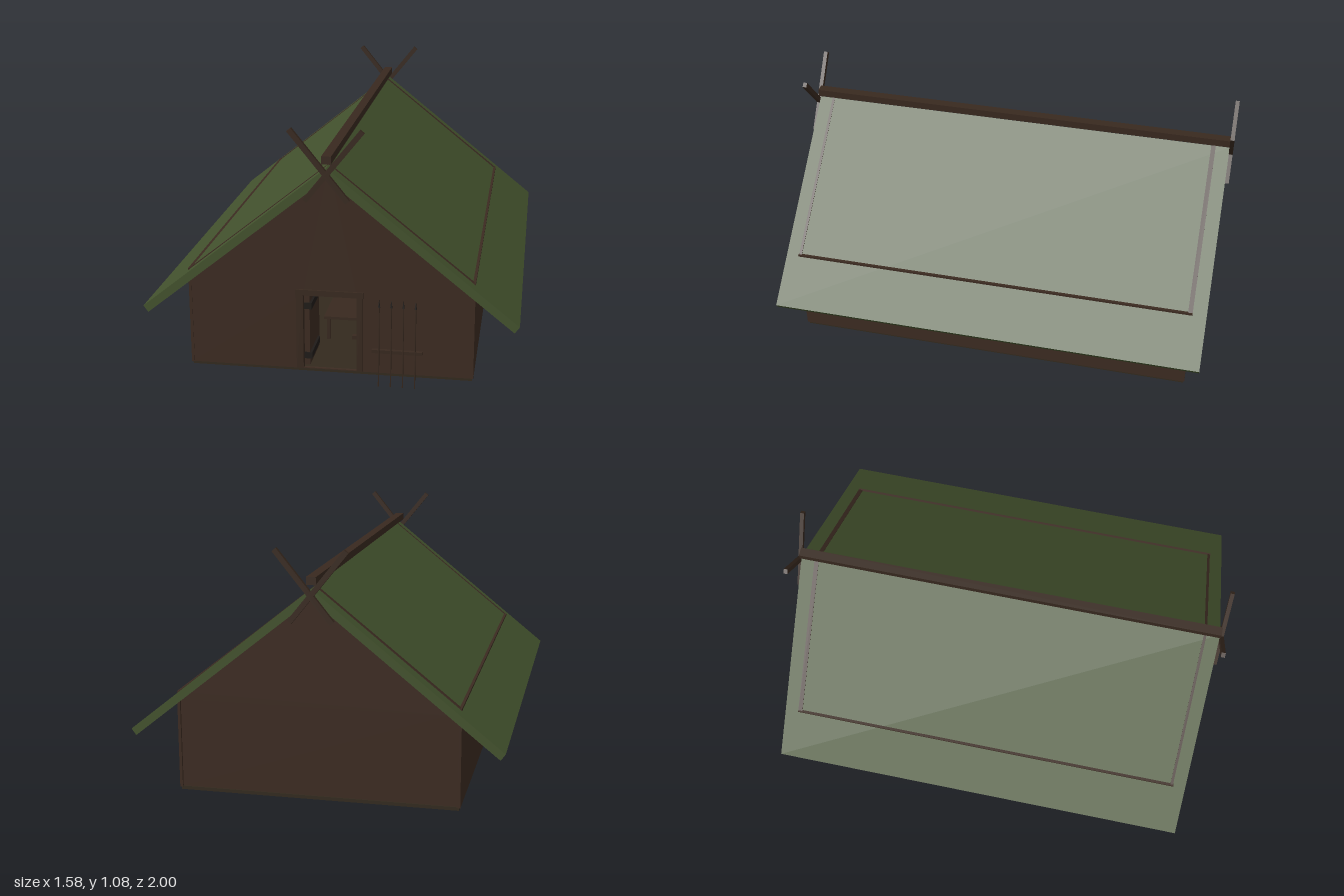
import * as THREE from 'three';

export function createModel() {
  const house = new THREE.Group();
  house.name = 'longhouse';

  const paint = (name, color) => {
    const m = new THREE.MeshStandardMaterial({ color });
    m.name = name;
    return m;
  };
  const wood = paint('wall wood', 0x3c2b21);
  const beam = paint('beam wood', 0x38291f);
  const thatch = paint('green roof', 0x43522d);
  const earth = paint('floor', 0x332a1e);
  const iron = paint('dark iron', 0x1f1b18);

  const add = (name, geometry, material, x = 0, y = 0, z = 0) => {
    const mesh = new THREE.Mesh(geometry, material);
    mesh.name = name;
    mesh.position.set(x, y, z);
    house.add(mesh);
    return mesh;
  };
  // Box given by its limits on each axis
  const box = (name, material, x0, x1, y0, y1, z0, z1) =>
    add(name, new THREE.BoxGeometry(x1 - x0, y1 - y0, z1 - z0), material,
      (x0 + x1) / 2, (y0 + y1) / 2, (z0 + z1) / 2);
  const outline = (points) => new THREE.Shape(points.map(([x, y]) => new THREE.Vector2(x, y)));
  const slab = (name, shape, depth, material, z) =>
    add(name, new THREE.ExtrudeGeometry(shape, { depth, bevelEnabled: false }), material, 0, 0, z);

  // Floor and long walls, whose tops just break through the roof
  box('floor', earth, -0.6, 0.6, 0, 0.015, -0.915, 0.89);
  for (const s of [-1, 1]) {
    const inner = s * 0.593, outer = s * 0.605;
    box('sideWall', wood, Math.min(inner, outer), Math.max(inner, outer), 0.012, 0.438, -0.92, 0.897);
  }

  // Front gable wall with the doorway
  const front = outline([[-0.6, 0.012], [0.6, 0.012], [0.6, 0.437], [0, 0.917], [-0.6, 0.437]]);
  front.holes.push(new THREE.Path([[-0.115, 0.016], [-0.115, 0.345], [0.115, 0.345], [0.115, 0.016]]
    .map(([x, y]) => new THREE.Vector2(x, y))));
  slab('frontWall', front, 0.012, wood, 0.882);

  // Back wall with a slightly proud gable above it
  box('backWall', wood, -0.6, 0.6, 0.012, 0.42, -0.91, -0.898);
  slab('backGable', outline([[-0.6, 0.405], [0.6, 0.405], [0.6, 0.437], [0, 0.917], [-0.6, 0.437]]),
    0.02, wood, -0.92);

  // Roof, one folded slab
  slab('roof', outline([[0, 0.915], [-0.79, 0.28], [-0.77, 0.252], [0, 0.87], [0.77, 0.252], [0.79, 0.28]]),
    1.935, thatch, -0.982);

  // Ridge pole and crossed gable boards
  box('ridgePole', beam, -0.02, 0.02, 0.93, 0.963, -0.982, 0.955);
  for (const z of [0.962, -0.99]) {
    for (const s of [-1, 1]) {
      const board = add('crossedBoard', new THREE.BoxGeometry(0.022, 0.375, 0.018), beam,
        s * -0.03, 0.925, z);
      board.rotation.z = s * Math.atan2(0.232, 0.288);
    }
  }

  // Door frame
  for (const s of [-1, 1]) {
    box('doorPost', beam, s < 0 ? -0.143 : 0.113, s < 0 ? -0.113 : 0.14, 0.015, 0.345, 0.875, 0.902);
  }
  box('doorLintel', beam, -0.145, 0.142, 0.345, 0.37, 0.875, 0.902);

  // Door swung inward, with hinges and latch
  box('door', wood, -0.113, -0.09, 0.02, 0.335, 0.66, 0.875);
  for (const y of [0.065, 0.29]) {
    box('doorHinge', iron, -0.113, -0.08, y - 0.014, y + 0.014, 0.7, 0.88);
  }
  box('doorLatch', beam, 0.094, 0.113, 0.158, 0.174, 0.875, 0.895);

  // Table inside
  box('tableTop', beam, -0.08, 0.105, 0.118, 0.13, 0.3, 0.6);
  for (const x of [-0.07, 0.085]) {
    for (const z of [0.31, 0.57]) box('tableLeg', beam, x, x + 0.016, 0.015, 0.118, z, z + 0.016);
  }

  // Two barred windows on each long wall
  for (const s of [-1, 1]) {
    for (const z of [0.44, -0.455]) {
      box('windowUpright', beam, s * 0.606 - 0.003, s * 0.606 + 0.003, 0.18, 0.3, z - 0.005, z + 0.005);
      box('windowCrossbar', beam, s * 0.606 - 0.003, s * 0.606 + 0.003, 0.235, 0.245, z - 0.055, z + 0.055);
    }
  }

  // Spear rack leaning in front of the house
  box('rackRail', beam, 0.19, 0.4, 0.143, 0.157, 0.972, 0.988);
  for (const x of [0.22, 0.27, 0.32, 0.37]) {
    const spear = new THREE.Group();
    spear.name = 'spear';
    const shaft = new THREE.Mesh(new THREE.CylinderGeometry(0.003, 0.003, 0.345, 6), beam);
    shaft.name = 'spearShaft';
    shaft.position.y = 0.1725;
    const tip = new THREE.Mesh(new THREE.ConeGeometry(0.005, 0.035, 4), iron);
    tip.name = 'spearTip';
    tip.position.y = 0.3625;
    spear.add(shaft, tip);
    spear.position.set(x, 0, 0.997);
    spear.rotation.x = -0.035;
    house.add(spear);
  }

  return house;
}
